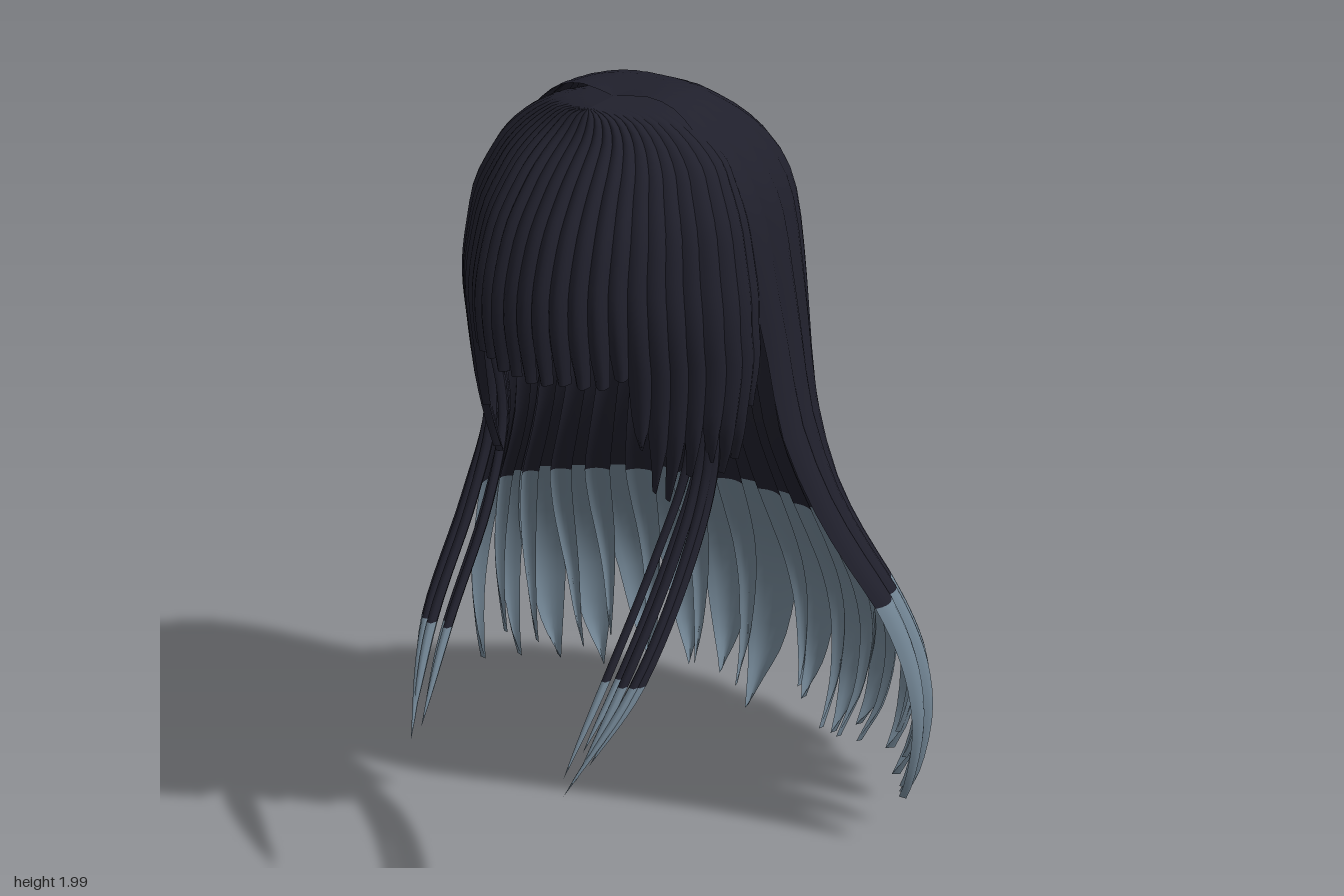
import * as THREE from 'three';

// Rounded half sections of the hair, crown to tips:
// [y, half width, side z, middle z, fullness of the diagonal]
const BACK = [
  [1.985, 0, .12, .12, .1], [1.997, .09, .11, .03, .1], [1.98, .16, .1, -.08, .1],
  [1.94, .215, .1, -.16, .1], [1.88, .27, .09, -.24, .11], [1.8, .318, .09, -.31, .12],
  [1.7, .347, .08, -.347, .13], [1.55, .367, .06, -.362, .13], [1.4, .385, .03, -.37, .11],
  [1.2, .42, .01, -.385, .05], [1.0, .475, -.05, -.425, -.04], [.85, .54, -.1, -.485, -.09],
  [.73, .6, -.14, -.54, -.1], [.6, .645, -.17, -.6, -.07], [.48, .672, -.18, -.645, -.03],
  [.35, .68, -.18, -.668, 0], [.2, .66, -.17, -.662, 0], [.1, .62, -.16, -.63, 0],
  [0, .57, -.15, -.58, 0],
];
const FRONT = [
  [1.985, 0, .1, .22, 0], [1.97, .13, .1, .235, 0], [1.93, .21, .1, .265, 0],
  [1.88, .265, .1, .325, -.03], [1.83, .295, .11, .375, -.05], [1.75, .33, .12, .435, -.07],
  [1.65, .348, .12, .475, -.07], [1.57, .36, .12, .487, -.07], [1.5, .363, .12, .483, -.07],
  [1.42, .363, .11, .468, -.06], [1.3, .352, .11, .45, -.05], [1.2, .335, .1, .43, -.04],
  [1.08, .3, .1, .4, -.03],
];
const DYE_ROW = 12; // section of BACK where the pale ends begin

function createModel() {
  const group = new THREE.Group();
  const dark = new THREE.MeshStandardMaterial({ color: 0x20202c, side: THREE.DoubleSide });
  dark.name = 'darkHair';
  const pale = new THREE.MeshStandardMaterial({ color: 0x728594, side: THREE.DoubleSide });
  pale.name = 'paleEnds';

  let seed = 7;
  const rand = () => (seed = (seed * 16807) % 2147483647) / 2147483647;
  const jitter = (r) => (rand() * 2 - 1) * r;

  // Surface through rows of points; rows after splitRow take the pale colour
  function sheet(name, rows, splitRow) {
    const n = rows[0].length, index = [];
    for (let i = 0; i < rows.length - 1; i++) {
      for (let j = 0; j < n - 1; j++) {
        const a = i * n + j, b = a + n;
        index.push(a, b, a + 1, a + 1, b, b + 1);
      }
    }
    const geo = new THREE.BufferGeometry().setFromPoints(rows.flat());
    geo.setIndex(index);
    geo.computeVertexNormals();
    const cut = Math.min(splitRow, rows.length - 1) * (n - 1) * 6;
    geo.addGroup(0, cut, 0);
    if (cut < index.length) geo.addGroup(cut, index.length - cut, 1);
    const mesh = new THREE.Mesh(geo, [dark, pale]);
    mesh.name = name;
    group.add(mesh);
  }

  // Smooth (Catmull-Rom) interpolation between table rows
  function section(table, t) {
    const last = table.length - 1, i = Math.min(Math.floor(t), last - 1), s = t - i;
    const p0 = table[Math.max(i - 1, 0)], p3 = table[Math.min(i + 2, last)];
    return table[i].map((b, k) => {
      const a = p0[k], c = table[i + 1][k], d = p3[k];
      return b + .5 * s * (c - a + s * (2 * a - 5 * b + 4 * c - d + s * (3 * (b - c) + d - a)));
    });
  }

  function rowAtHeight(table, y) {
    let i = table.length - 2;
    while (table[i][0] < y) i--;
    return i + (table[i][0] - y) / (table[i][0] - table[i + 1][0]);
  }

  // One domed lock that follows the section table; u runs from -1 to 1 across the section
  function lock(name, table, o) {
    const end = rowAtHeight(table, o.tip), ts = [];
    const isBack = table === BACK, start = o.start ?? 0;
    if (isBack) {
      for (let t = start; t < DYE_ROW; t += .5) ts.push(t);
      for (let i = 0; i <= 14; i++) ts.push(DYE_ROW + (end - DYE_ROW) * i / 14);
    } else {
      for (let i = 0; i <= 26; i++) ts.push(end * i / 26);
    }
    const facing = isBack ? -1 : 1;
    const rows = ts.map((t) => {
      const [y, a, c, e, full] = section(table, t);
      const k = Math.max(0, (t - o.taper) / (end - o.taper));
      const w = o.width * (1 - (1 - (o.blunt ?? 0)) * k ** (o.power ?? 2.2));
      const swell = isBack ? .35 + t / 18 : 1; // locks lie flat on the head, round out below
      const row = [];
      for (let j = -3; j <= 3; j++) {
        const q = j / 3, th = (o.u + q * w + (o.bend ?? 0) * k * k) * Math.PI / 2;
        const h = (o.bulge * swell * (1 - q * q) - .01 + (o.lift ?? 0)) * Math.min(1, a / .3);
        const depth = Math.cos(th) + full * Math.sin(2 * th) ** 2;
        row.push(new THREE.Vector3(
          (a + h) * Math.sin(th), y, c + (e - c) * depth + facing * h * Math.cos(th)));
      }
      return row;
    });
    sheet(name, rows, isBack ? (DYE_ROW - start) * 2 : Infinity);
  }

  // Long back hair: outer locks from the crown
  const N = 15;
  for (let i = 0; i < N; i++) {
    const u = -0.95 + 1.9 * i / (N - 1), side = Math.abs(u) > .7;
    lock('backLock', BACK, {
      u: u + (side ? 0 : jitter(.015)), width: side ? .085 : .09 + jitter(.008),
      bulge: .014 + rand() * .008, taper: side ? 10 : 12.5, power: 2,
      tip: i === 7 ? .01 : .02 + .1 * u * u + rand() * .06, bend: jitter(.05),
    });
  }
  // Thinner locks underneath
  for (let i = 0; i < N - 1; i++) {
    const u = -0.88 + 1.76 * i / (N - 2);
    lock('innerBackLock', BACK, {
      u, width: .045, bulge: .012, lift: -.014, start: 8, taper: 11, power: 1.8,
      tip: .03 + .12 * u * u + rand() * .1, bend: jitter(.07),
    });
  }

  // Straight-cut fringe, drawn in slightly towards its ends
  for (let i = 0; i < 11; i++) {
    const u = -.37 + .74 * i / 10;
    lock('fringeLock', FRONT, {
      u, width: .05, bulge: .016 + rand() * .008, lift: -.05 * u * u,
      taper: 5, tip: 1.41 + rand() * .025, blunt: .55,
    });
  }

  for (const s of [-1, 1]) {
    // Locks framing the face and covering the temples: [u, width, tip, lift]
    const framing = [[.45, .055, 1.25, -.01], [.53, .06, 1.13, -.01], [.61, .065, 1.1, -.01],
      [.7, .065, 1.16, -.006], [.79, .07, 1.19, .004], [.88, .07, 1.15, .008],
      [.96, .07, 1.17, .008], [1.03, .07, 1.3, .004]];
    for (const [u, width, tip, lift] of framing) {
      lock('sideLock', FRONT, { u: s * u, width, tip, lift, bulge: .018, taper: 8.5, power: 2.6, blunt: .15 });
    }
    // Scalp hair closing the temple between front and back
    lock('templeLock', FRONT, { u: s * 1.1, width: .11, tip: 1.5, bulge: .005, taper: 7 });

    // Thin tendrils sweeping forward and curling in: [x shift, z shift, tip x, tip y, tip z, width]
    const tendrils = [[.035, 0, .22, .5, .672, .018], [.012, .012, .235, .53, .645, .018],
      [.045, -.012, .25, .56, .61, .018], [-.035, .012, .205, .53, .65, .016],
      [-.015, -.015, .225, .58, .6, .016]];
    for (const [dx, dz, tx, ty, tz, w] of tendrils) {
      const path = new THREE.CatmullRomCurve3([
        [.3 + dx * .4, 1.42, .22 + dz], [.285 + dx * .7, 1.17, .2 + dz], [.275 + dx, .97, .3 + dz],
        [.262 + dx, .73, .49 + dz], [tx, ty, tz],
      ].map(([x, y, z]) => new THREE.Vector3(s * x, y, z)));
      const rows = [];
      for (let i = 0; i <= 24; i++) {
        const t = i / 24, p = path.getPoint(t);
        const r = w * (t < .7 ? 1 : 1 - ((t - .7) / .3) ** 2.2);
        const row = [];
        for (let j = 0; j <= 6; j++) {
          const th = j / 6 * Math.PI * 2;
          row.push(new THREE.Vector3(p.x + r * .7 * Math.cos(th), p.y, p.z + r * Math.sin(th)));
        }
        rows.push(row);
      }
      sheet('tendril', rows, 18);
    }
  }
  return group;
}

export { createModel };
